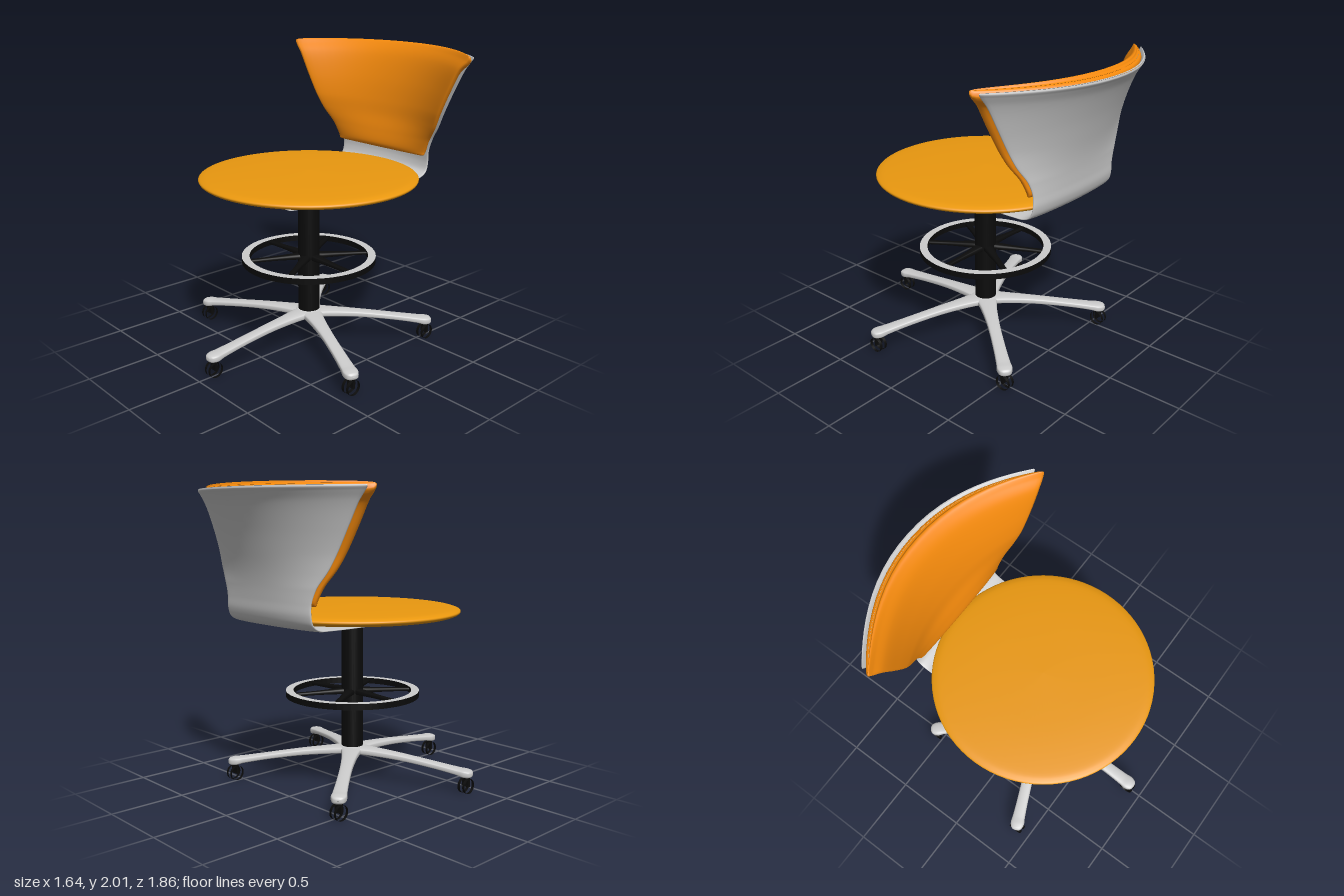
import * as THREE from 'three';

const mat = (color) => new THREE.MeshStandardMaterial({ color, side: THREE.DoubleSide });

// Lofts a rounded slab along a path; each row is [y, z, halfWidth, bow, halfThickness].
// Bow pushes the side edges forward (+z) relative to the centre line.
function loft(rows, steps = 60, ring = 56) {
  const path = new THREE.CatmullRomCurve3(rows.map(([y, z, w]) => new THREE.Vector3(w, y, z)));
  const form = new THREE.CatmullRomCurve3(rows.map(([, , , bow, h]) => new THREE.Vector3(bow, h, 0)));
  const pos = [], idx = [];
  for (let j = 0; j <= steps; j++) {
    const t = j / steps, p = path.getPoint(t), d = path.getTangent(t), f = form.getPoint(t);
    const len = Math.hypot(d.y, d.z) || 1, ny = -d.z / len, nz = d.y / len;
    const h = Math.max(f.y, 0.001);
    for (let i = 0; i < ring; i++) {
      const a = (i / ring) * Math.PI * 2, u = Math.cos(a), s = Math.sin(a);
      const off = h * Math.sign(s) * Math.sqrt(Math.abs(s));
      pos.push(p.x * u, p.y + ny * off, p.z + f.x * Math.abs(u) ** 2.1 + nz * off);
      if (j < steps) {
        const k = j * ring + i, n = j * ring + (i + 1) % ring;
        idx.push(k, k + ring, n, n, k + ring, n + ring);
      }
    }
  }
  const g = new THREE.BufferGeometry();
  g.setAttribute('position', new THREE.Float32BufferAttribute(pos, 3));
  g.setIndex(idx);
  g.computeVertexNormals();
  return g;
}

export function createModel() {
  const model = new THREE.Group();
  const grey = mat(0xcccccc), black = mat(0x0b0b0b);
  const seatFabric = mat(0xea980f), backFabric = mat(0xf58a0c);
  const AXIS = 0.07; // z of the column

  const add = (name, geometry, material, x = 0, y = 0, z = 0, parent = model) => {
    const m = new THREE.Mesh(geometry, material);
    m.name = name;
    m.position.set(x, y, z);
    parent.add(m);
    return m;
  };

  // Round cushion with a soft rim
  const seatProfile = new THREE.SplineCurve([
    [0, 1.146], [0.4, 1.148], [0.64, 1.155], [0.71, 1.168], [0.73, 1.187],
    [0.71, 1.202], [0.64, 1.213], [0.4, 1.225], [0, 1.232],
  ].map(([r, y]) => new THREE.Vector2(r, y))).getPoints(48);
  seatProfile[0].x = seatProfile[48].x = 0;
  add('seat', new THREE.LatheGeometry(seatProfile, 80), seatFabric, 0, 0, AXIS);

  // One-piece shell: plate under the seat, bend, then flaring back
  add('backShell', loft([
    [1.137, 0.572, 0.37, 0, 0.001],
    [1.137, 0.565, 0.395, 0, 0.006],
    [1.137, 0.52, 0.412, 0, 0.007],
    [1.137, 0.1, 0.414, 0, 0.007],
    [1.138, -0.5, 0.414, 0, 0.008],
    [1.145, -0.6, 0.414, 0.01, 0.011],
    [1.175, -0.66, 0.414, 0.02, 0.012],
    [1.23, -0.685, 0.414, 0.027, 0.012],
    [1.31, -0.693, 0.416, 0.035, 0.012],
    [1.4, -0.704, 0.452, 0.055, 0.012],
    [1.5, -0.723, 0.522, 0.1, 0.012],
    [1.6, -0.75, 0.577, 0.145, 0.012],
    [1.75, -0.8, 0.657, 0.205, 0.012],
    [1.9, -0.865, 0.742, 0.275, 0.012],
    [1.96, -0.902, 0.79, 0.315, 0.012],
    [1.982, -0.92, 0.805, 0.33, 0.01],
    [1.988, -0.925, 0.8, 0.33, 0.001],
  ], 110), grey);

  // Upholstered pad lining the shell
  add('backPad', loft([
    [1.288, -0.615, 0.39, 0, 0.001],
    [1.292, -0.615, 0.407, 0, 0.017],
    [1.315, -0.618, 0.416, 0, 0.029],
    [1.4, -0.637, 0.457, 0.035, 0.033],
    [1.5, -0.67, 0.53, 0.1, 0.038],
    [1.6, -0.695, 0.585, 0.15, 0.043],
    [1.75, -0.74, 0.665, 0.21, 0.048],
    [1.9, -0.8, 0.75, 0.275, 0.05],
    [1.955, -0.838, 0.805, 0.305, 0.05],
    [1.98, -0.862, 0.82, 0.325, 0.047],
    [1.993, -0.875, 0.81, 0.33, 0.03],
    [1.997, -0.877, 0.8, 0.33, 0.001],
  ], 90), backFabric);

  // Column
  add('column', new THREE.CylinderGeometry(0.074, 0.074, 0.92, 40), black, 0, 0.675, AXIS);

  // Foot ring with six tapering spokes
  const footRing = new THREE.Group();
  footRing.name = 'footRing';
  footRing.position.set(0, 0.615, AXIS);
  model.add(footRing);
  const band = [[0.405, -0.02], [0.458, -0.02], [0.458, 0.019], [0.405, 0.019], [0.405, -0.02]];
  const bandShape = new THREE.Shape().absarc(0, 0, 0.458, 0, Math.PI * 2);
  bandShape.holes.push(new THREE.Path().absarc(0, 0, 0.405, 0, Math.PI * 2, true));
  const bandGeo = new THREE.LatheGeometry(band.map(([r, y]) => new THREE.Vector2(r, y)), 64).toNonIndexed();
  bandGeo.computeVertexNormals();
  add('ringBand', bandGeo, black, 0, 0, 0, footRing);
  const trod = new THREE.ShapeGeometry(bandShape, 64).rotateX(-Math.PI / 2);
  add('ringTread', trod, grey, 0, 0.0205, 0, footRing);
  for (let k = 0; k < 6; k++) {
    const spoke = add('ringSpoke', loft([
      [0.012, 0.05, 0.035, 0, 0.022],
      [0.005, 0.25, 0.02, 0, 0.014],
      [0, 0.42, 0.02, 0, 0.012],
    ], 10, 20), black, 0, 0, 0, footRing);
    spoke.rotation.y = Math.PI / 6 + k * Math.PI / 3;
  }

  // Five-leg base
  add('baseHub', new THREE.LatheGeometry(
    [[0, 0.185], [0.08, 0.188], [0.1, 0.205], [0.1, 0.225], [0.085, 0.241], [0, 0.245]]
      .map(([r, y]) => new THREE.Vector2(r, y)), 40), grey, 0, 0, AXIS);
  const legGeo = loft([
    [0.216, 0, 0.09, 0, 0.025],
    [0.211, 0.12, 0.062, 0, 0.026],
    [0.196, 0.35, 0.043, 0, 0.023],
    [0.168, 0.6, 0.041, 0, 0.021],
    [0.146, 0.76, 0.046, 0, 0.023],
    [0.138, 0.81, 0.05, 0, 0.028],
    [0.136, 0.845, 0.038, 0, 0.024],
    [0.136, 0.858, 0.02, 0, 0.014],
    [0.136, 0.861, 0.004, 0, 0.001],
  ], 40, 32);

  // Caster: two open spoked wheels, an axle and a stem
  const wheelGeo = new THREE.CylinderGeometry(0.05, 0.05, 0.02, 28, 1, true).rotateZ(Math.PI / 2);
  const casterAt = (x, z) => {
    const caster = new THREE.Group();
    caster.name = 'caster';
    caster.position.set(x, 0.053, z);
    model.add(caster);
    for (const side of [-1, 1]) add('wheel', wheelGeo, black, side * 0.02, 0, 0, caster);
    add('axle', new THREE.CylinderGeometry(0.008, 0.008, 0.056, 12).rotateZ(Math.PI / 2), black, 0, 0, 0, caster);
    add('stem', new THREE.BoxGeometry(0.056, 0.066, 0.014), black, 0, 0.03, 0, caster);
  };

  for (const degrees of [0, 66.7, 139.5, -139.5, -66.7]) {
    const a = THREE.MathUtils.degToRad(degrees);
    add('baseLeg', legGeo, grey, 0, 0, AXIS).rotation.y = a;
    casterAt(0.815 * Math.sin(a), AXIS + 0.815 * Math.cos(a));
  }
  return model;
}
